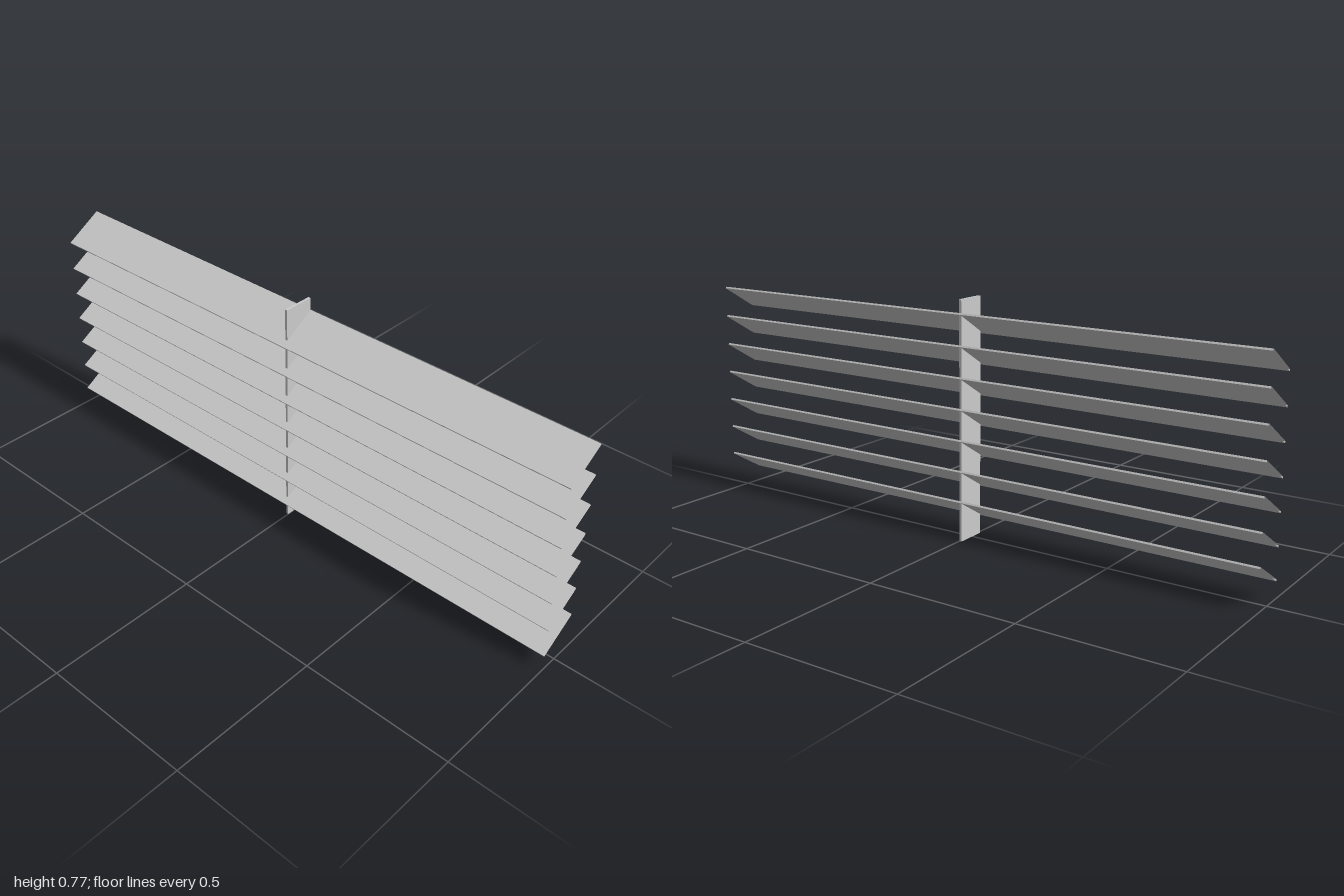
import * as THREE from 'three';

const material = new THREE.MeshStandardMaterial({ color: 0xcccccc, flatShading: true, side: THREE.DoubleSide });

export function createModel() {
  const group = new THREE.Group();

  // Thin slat, open at both ends: drop the two end faces of the box
  const slatGeometry = new THREE.BoxGeometry(2, 0.006, 0.145);
  slatGeometry.setIndex(Array.from(slatGeometry.index.array).slice(12));
  slatGeometry.clearGroups();

  // Seven louvre slats, sloping down towards the front
  for (let i = 0; i < 7; i++) {
    const slat = new THREE.Mesh(slatGeometry, material);
    slat.name = `slat${i + 1}`;
    slat.position.y = 0.0935 + i * 0.0995;
    slat.rotation.x = THREE.MathUtils.degToRad(31);
    group.add(slat);
  }

  // Upright plate crossing the slats in the middle
  const post = new THREE.Mesh(new THREE.BoxGeometry(0.008, 0.772, 0.102), material);
  post.name = 'centrePost';
  post.position.set(-0.004, 0.386, -0.008);
  group.add(post);

  return group;
}
